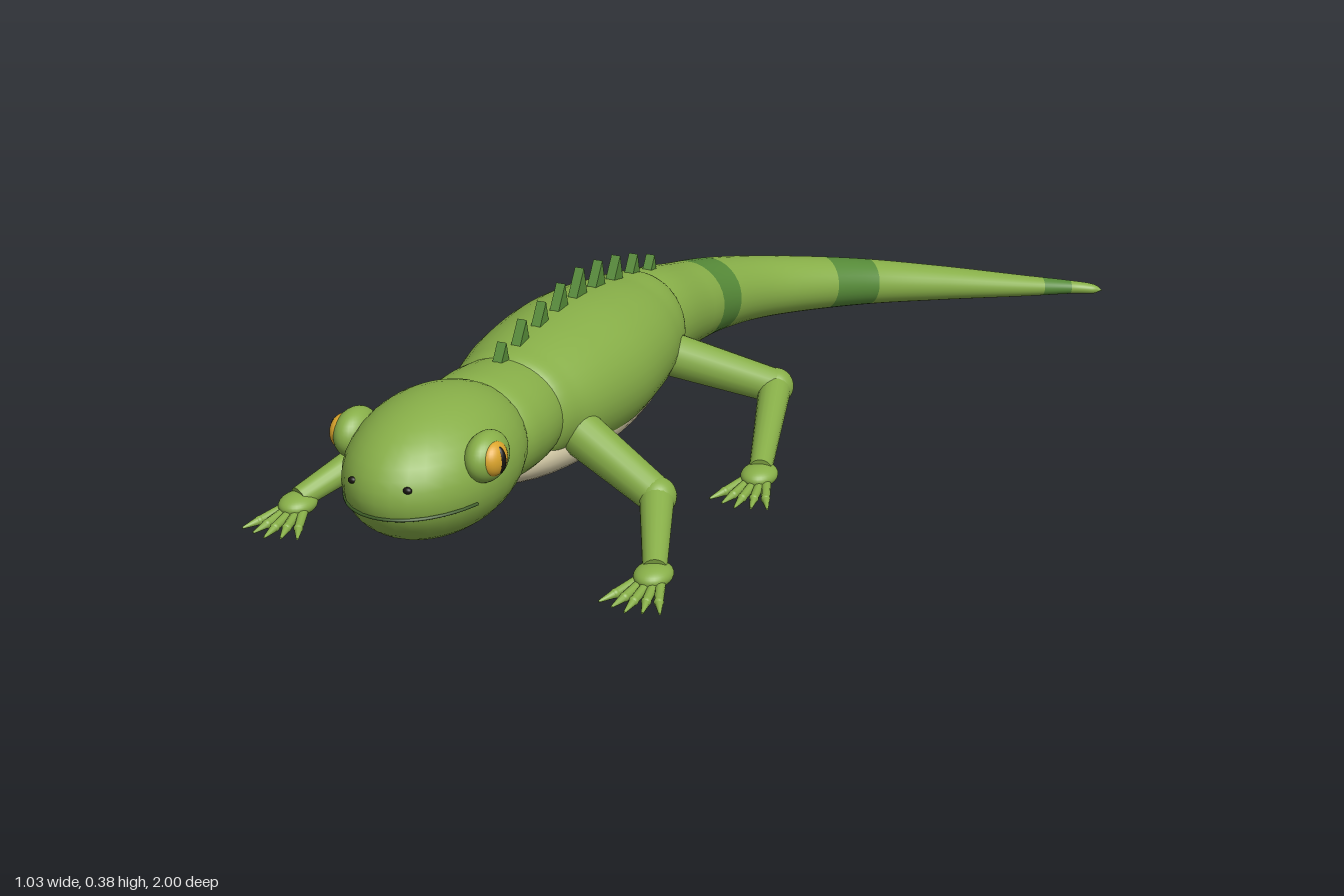
import * as THREE from 'three';

const AXIS = -0.11; // x of the body's midline

const mat = (name, color) => Object.assign(new THREE.MeshStandardMaterial({ color }), { name });

// Smooth skin through elliptical sections [x, y, z, rx, ry]; pick(z) chooses the material index
function loft(sections, rings, sides, pick = () => 0) {
  const V = THREE.Vector3;
  const path = new THREE.CatmullRomCurve3(sections.map(s => new V(s[0], s[1], s[2])), false, 'catmullrom');
  const size = new THREE.CatmullRomCurve3(sections.map(s => new V(s[3], s[4], 0)), false, 'catmullrom');
  const pos = [], idx = [], geo = new THREE.BufferGeometry();
  for (let i = 0; i <= rings; i++) {
    const t = i / rings, c = path.getPoint(t), r = size.getPoint(t), dir = path.getTangent(t);
    const right = new V(0, 1, 0).cross(dir).normalize();
    const up = dir.clone().cross(right);
    for (let j = 0; j < sides; j++) {
      const a = (j / sides) * Math.PI * 2;
      const p = c.clone().addScaledVector(right, Math.max(r.x, 0.001) * Math.cos(a))
        .addScaledVector(up, Math.max(r.y, 0.001) * Math.sin(a));
      pos.push(p.x, p.y, p.z);
    }
  }
  for (let i = 0; i < rings; i++) {
    const start = idx.length;
    for (let j = 0; j < sides; j++) {
      const a = i * sides + j, b = i * sides + (j + 1) % sides;
      idx.push(a, b, a + sides, b, b + sides, a + sides);
    }
    geo.addGroup(start, sides * 6, pick(path.getPoint((i + 0.5) / rings).z));
  }
  geo.setAttribute('position', new THREE.Float32BufferAttribute(pos, 3));
  geo.setIndex(idx);
  geo.computeVertexNormals();
  return geo;
}

export function createModel() {
  const model = new THREE.Group();
  model.name = 'lizard';
  const green = mat('skin green', 0x87ae48);
  const dark = mat('band green', 0x568a38);
  const cream = mat('belly cream', 0xd9cfab);
  const fan = mat('throat cream', 0xddd69a);
  const gold = mat('eye gold', 0xdca52c);
  const black = mat('pupil black', 0x17130f);
  const lip = mat('mouth dark green', 0x3f5f28);

  const add = (name, geo, material, parent = model) => {
    const m = new THREE.Mesh(geo, material);
    m.name = name;
    parent.add(m);
    return m;
  };
  const blob = (name, material, p, r, parent = model) => {
    const m = add(name, new THREE.SphereGeometry(1, 32, 20), material, parent);
    m.position.set(...p);
    m.scale.set(...r);
    return m;
  };
  const limb = (name, a, b, ra, rb, parent, sides = 18) => {
    const A = new THREE.Vector3(...a), B = new THREE.Vector3(...b), d = B.clone().sub(A);
    const m = add(name, new THREE.CylinderGeometry(rb, ra, d.length(), sides), green, parent);
    m.position.copy(A).add(B).multiplyScalar(0.5);
    m.quaternion.setFromUnitVectors(new THREE.Vector3(0, 1, 0), d.normalize());
  };

  // Trunk, neck, belly
  add('body', loft([
    [AXIS, 0.19, -0.02, 0, 0], [AXIS, 0.192, 0, 0.09, 0.092], [AXIS, 0.196, 0.1, 0.128, 0.113],
    [AXIS, 0.2, 0.2, 0.148, 0.126], [AXIS, 0.201, 0.3, 0.156, 0.132], [AXIS, 0.204, 0.42, 0.147, 0.125],
    [AXIS, 0.21, 0.5, 0.129, 0.11], [AXIS, 0.212, 0.56, 0.1, 0.09], [AXIS, 0.212, 0.6, 0, 0]], 64, 40), [green]);
  add('neck', loft([
    [AXIS, 0.21, 0.5, 0.1, 0.09], [AXIS, 0.212, 0.56, 0.114, 0.098], [AXIS, 0.215, 0.62, 0.118, 0.1],
    [AXIS, 0.217, 0.67, 0.112, 0.095], [AXIS, 0.22, 0.72, 0.08, 0.07]], 24, 40), [green]);
  blob('belly', cream, [AXIS, 0.138, 0.317], [0.127, 0.078, 0.343]);

  // Curved tail with three darker bands
  const bands = [[-0.3, -0.215], [-0.67, -0.59], [-0.968, -0.93]];
  add('tail', loft([
    [AXIS, 0.195, 0.06, 0.094, 0.092], [AXIS, 0.188, -0.03, 0.095, 0.094], [-0.113, 0.165, -0.16, 0.089, 0.084],
    [-0.1, 0.143, -0.3, 0.08, 0.074], [-0.048, 0.115, -0.46, 0.069, 0.062], [0.075, 0.083, -0.64, 0.055, 0.049],
    [0.215, 0.055, -0.78, 0.042, 0.036], [0.365, 0.029, -0.905, 0.027, 0.022], [0.45, 0.018, -0.967, 0.017, 0.014],
    [0.495, 0.014, -0.987, 0.012, 0.01], [0.515, 0.013, -0.99, 0, 0]],
  160, 32, z => (bands.some(([a, b]) => z > a && z < b) ? 1 : 0)), [green, dark]);

  // Head, mouth line and nostrils
  const hc = [AXIS, 0.22, 0.795], hr = [0.137, 0.12, 0.204];
  blob('head', green, hc, hr);
  const mouthY = 0.193, k = Math.sqrt(1 - ((mouthY - hc[1]) / hr[1]) ** 2);
  const mouth = [];
  for (let i = 0; i <= 24; i++) {
    const a = -1.15 + (2.3 * i) / 24;
    mouth.push(new THREE.Vector3(hc[0] + hr[0] * k * Math.sin(a), mouthY, hc[2] + hr[2] * k * Math.cos(a)));
  }
  add('mouth', new THREE.TubeGeometry(new THREE.CatmullRomCurve3(mouth), 48, 0.003, 6), lip);

  // Throat fan
  const fanShape = new THREE.Shape([[0.72, 0.125], [0.63, 0.055], [0.56, 0.105], [0.56, 0.16], [0.72, 0.16]]
    .map(([z, y]) => new THREE.Vector2(-z, y)));
  const fanMesh = add('throatFan', new THREE.ExtrudeGeometry(fanShape, { depth: 0.014, bevelEnabled: false }), fan);
  fanMesh.rotation.y = Math.PI / 2;
  fanMesh.position.x = AXIS - 0.007;

  // Back spikes: height of each tip along the spine
  const tips = [0.342, 0.358, 0.366, 0.375, 0.38, 0.37, 0.355, 0.334, 0.308];
  tips.forEach((tip, i) => {
    const z = 0.567 - i * 0.0752, base = tip - 0.065;
    const shape = new THREE.Shape([[-0.03, base], [0.027, base], [0.012, tip]]
      .map(([dz, y]) => new THREE.Vector2(dz - z, y)));
    const spike = add('backSpike', new THREE.ExtrudeGeometry(shape, { depth: 0.018, bevelEnabled: false }), dark);
    spike.rotation.y = Math.PI / 2;
    spike.position.x = AXIS - 0.009;
  });

  for (const s of [1, -1]) {
    const side = s > 0 ? 'left' : 'right';
    const at = (off, y, z) => [AXIS + s * off, y, z];

    // Eye turret, iris, slit pupil, nostril
    blob(side + 'EyeTurret', green, at(0.123, 0.265, 0.843), [0.033, 0.043, 0.052]);
    blob(side + 'Iris', gold, at(0.141, 0.268, 0.853), [0.021, 0.03, 0.031]);
    blob(side + 'Pupil', black, at(0.149, 0.268, 0.855), [0.0155, 0.025, 0.011]);
    blob(side + 'Nostril', black, at(0.051, 0.245, 0.978), [0.008, 0.006, 0.006]);

    // Legs: root, joint and ankle positions
    const legs = [
      ['Front', [0.1, 0.17, 0.48], [0.275, 0.086, 0.515], [0.348, 0.034, 0.68]],
      ['Hind', [0.09, 0.17, 0.085], [0.268, 0.088, -0.03], [0.348, 0.034, 0.228]],
    ];
    for (const [end, root, joint, ankle] of legs) {
      const leg = new THREE.Group();
      leg.name = side + end + 'Leg';
      model.add(leg);
      const [a, b, c] = [root, joint, ankle].map(p => at(...p));
      blob('shoulder', green, a, [0.043, 0.043, 0.043], leg);
      limb('upperLeg', a, b, 0.042, 0.033, leg);
      blob('joint', green, b, [0.035, 0.035, 0.035], leg);
      limb('lowerLeg', b, c, 0.031, 0.021, leg);
      blob('foot', green, [c[0], 0.026, c[2] + 0.005], [0.033, 0.02, 0.041], leg);
      // Five fanned toes
      for (let i = -2; i <= 2; i++) {
        const reach = 0.118 - Math.abs(i) * 0.009;
        const from = [c[0] + i * 0.01, 0.02, c[2] + 0.02];
        const mid = [c[0] + i * 0.02, 0.012, c[2] + reach * 0.7];
        const to = [c[0] + i * 0.028, 0.007, c[2] + reach];
        limb('toe', from, mid, 0.009, 0.008, leg, 10);
        blob('toePad', green, mid, [0.0085, 0.0085, 0.0085], leg);
        limb('toeTip', mid, to, 0.008, 0.002, leg, 10);
      }
    }
  }
  return model;
}
